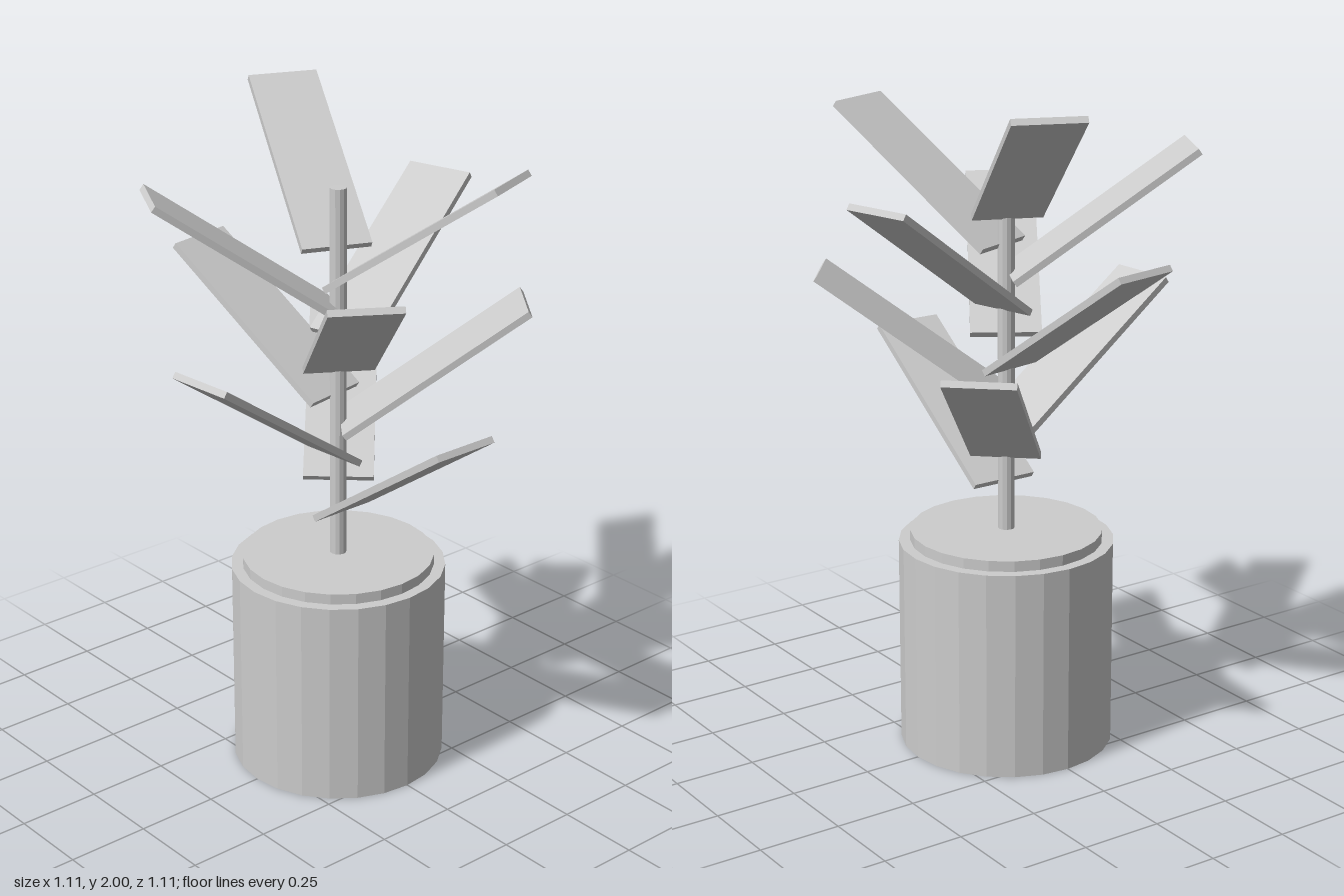
import * as THREE from 'three';

export function createModel() {
  const model = new THREE.Group();
  const grey = new THREE.MeshStandardMaterial({ color: 0xcccccc, flatShading: true });
  grey.name = 'light grey';

  const add = (parent, name, geometry) => {
    const mesh = new THREE.Mesh(geometry, grey);
    mesh.name = name;
    parent.add(mesh);
    return mesh;
  };

  // upright cylinder between two heights
  const drum = (name, radius, y0, y1, sides) => {
    add(model, name, new THREE.CylinderGeometry(radius, radius, y1 - y0, sides))
      .position.y = (y0 + y1) / 2;
  };

  drum('pot', 0.322, 0, 0.635, 24);
  drum('soil', 0.288, 0.6, 0.667, 24);
  drum('stem', 0.025, 0.64, 1.805, 12);

  // leaves climb the stem in a golden-angle spiral, all tilted up equally
  const length = 0.647;
  const leafShape = new THREE.BoxGeometry(length, 0.02, 0.21);
  leafShape.translate(length / 2, 0, 0);
  leafShape.rotateZ(THREE.MathUtils.degToRad(35));
  leafShape.translate(0.012, 0, 0);
  const leaves = new THREE.Group();
  leaves.name = 'leaves';
  model.add(leaves);
  for (let i = 0; i < 10; i++) {
    const leaf = add(leaves, `leaf${i + 1}`, leafShape);
    leaf.position.y = 0.811 + i * 0.09;
    leaf.rotation.y = THREE.MathUtils.degToRad(i * 137.5);
  }

  return model;
}
